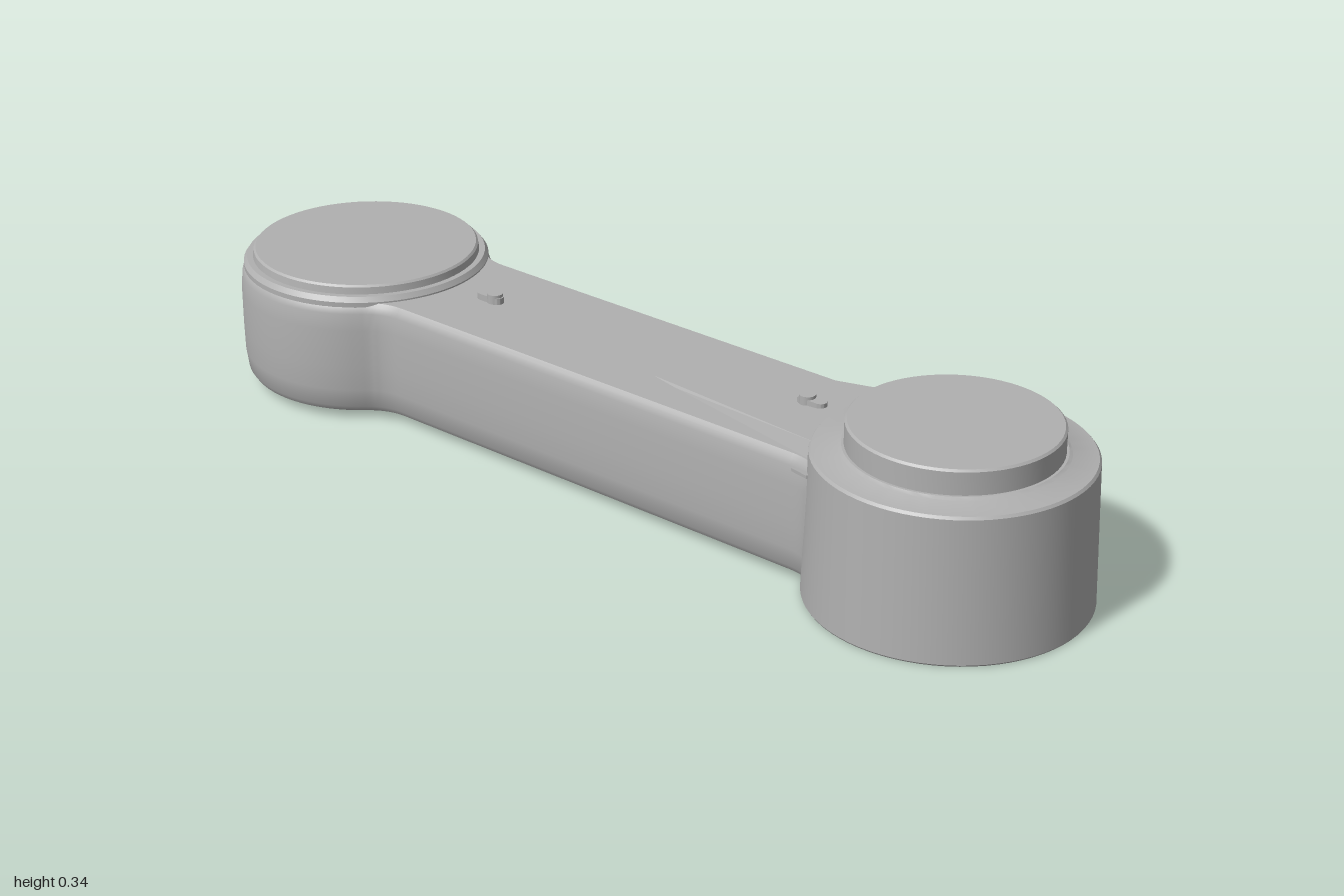
import * as THREE from 'three';
import { toCreasedNormals } from 'three/addons/utils/BufferGeometryUtils.js';

const LEFT = -0.74, RIGHT = 0.73;           // hub centres along x
const HUB = 0.257, HALF = 0.16, FILLET = 0.1;

// Closed plan outline of the arm, shrunk by an inset; returns [x, z] pairs
function outline(inset) {
  const dx = Math.sqrt((HUB + FILLET) ** 2 - (HALF + FILLET) ** 2);
  const a = Math.atan2(HALF + FILLET, dx);
  const end = []; // hub arc and fillet relative to the hub centre
  for (let i = 0; i <= 28; i++) {
    const t = Math.PI + (a - Math.PI) * i / 28;
    end.push([(HUB - inset) * Math.cos(t), (HUB - inset) * Math.sin(t)]);
  }
  for (let i = 1; i <= 8; i++) {
    const t = a + Math.PI + (Math.PI / 2 - a) * i / 8;
    end.push([dx + (FILLET + inset) * Math.cos(t), HALF + FILLET + (FILLET + inset) * Math.sin(t)]);
  }
  const half = [
    ...end.map(([x, z]) => [LEFT + x, z]),
    ...end.slice().reverse().map(([x, z]) => [RIGHT - x, z]),
  ];
  return [...half, ...half.slice(1, -1).reverse().map(([x, z]) => [x, -z])];
}

// Side wall skinned through [y, inset] levels
function wall(levels) {
  const pos = [], idx = [];
  const n = outline(0).length;
  for (const [y, inset] of levels) for (const [x, z] of outline(inset)) pos.push(x, y, z);
  for (let l = 0; l < levels.length - 1; l++) {
    for (let j = 0; j < n; j++) {
      const p = l * n + j, q = l * n + (j + 1) % n;
      idx.push(p, q, q + n, p, q + n, p + n);
    }
  }
  const g = new THREE.BufferGeometry();
  g.setAttribute('position', new THREE.Float32BufferAttribute(pos, 3));
  g.setIndex(idx);
  return toCreasedNormals(g, 0.6);
}

function lathe(profile) {
  const pts = profile.map(([r, y]) => new THREE.Vector2(r, y));
  return toCreasedNormals(new THREE.LatheGeometry(pts, 72), 0.5);
}

export function createModel() {
  const group = new THREE.Group();
  const grey = new THREE.MeshStandardMaterial({ color: 0xb0b0b0 });
  grey.name = 'matte grey';
  const add = (name, geo, x = 0, y = 0, z = 0) => {
    const m = new THREE.Mesh(geo, grey);
    m.name = name;
    m.position.set(x, y, z);
    group.add(m);
    return m;
  };

  // Arm body with gently rounded sides
  const levels = [[0.02, 0.014], [0.032, 0.006], [0.07, 0.001], [0.12, 0],
    [0.2, 0], [0.235, 0.003], [0.248, 0.007], [0.255, 0.014]];
  add('armWall', wall(levels));
  const topShape = new THREE.Shape(outline(0.014).map(([x, z]) => new THREE.Vector2(x, -z)));
  add('armTop', new THREE.ShapeGeometry(topShape).rotateX(-Math.PI / 2), 0, 0.255);
  const bottomShape = new THREE.Shape(outline(0.014).map(([x, z]) => new THREE.Vector2(x, z)));
  bottomShape.holes.push(new THREE.Path().absarc(LEFT, 0, 0.232, 0, Math.PI * 2, true));
  add('armBottom', new THREE.ShapeGeometry(bottomShape, 36).rotateX(Math.PI / 2), 0, 0.02);

  // Left hub: recess below, stepped cap above
  add('leftRecess', lathe([[0, 0.065], [0.23, 0.065], [0.232, 0.02]]), LEFT);
  add('leftCap', lathe([[0.25, 0.24], [0.25, 0.258], [0.243, 0.268], [0.231, 0.268],
    [0.229, 0.282], [0.225, 0.286], [0, 0.286]]), LEFT);

  // Right hub: tapered drum with a raised disc
  add('rightHub', lathe([[0, 0], [0.263, 0], [0.265, 0.003], [0.257, 0.28], [0.253, 0.285],
    [0.206, 0.291], [0.2, 0.295], [0.195, 0.295], [0.195, 0.339], [0.191, 0.343], [0, 0.343]]), RIGHT);

  // Shallow ramp rising toward the right hub
  const ramp = new THREE.BoxGeometry(1, 1, 1).toNonIndexed();
  const p = ramp.attributes.position;
  for (let i = 0; i < p.count; i++) {
    const far = p.getX(i) > 0, top = p.getY(i) > 0;
    const w = (far ? 0.138 : 0.06) + (top ? 0 : far ? 0.014 : 0.004);
    p.setXYZ(i, far ? 0.54 : 0.09, top ? (far ? 0.286 : 0.2555) : 0.25, Math.sign(p.getZ(i)) * w);
  }
  ramp.computeVertexNormals();
  add('ramp', ramp);

  // Little locating lugs on top, each a slot shape with a round pin
  for (const [x, y, s] of [[-0.39, 0.25, 1], [0.415, 0.27, -1]]) {
    const slot = new THREE.Shape();
    slot.absarc(0.018, 0, 0.013, -Math.PI / 2, Math.PI / 2, false);
    slot.absarc(-0.018, 0, 0.013, Math.PI / 2, Math.PI * 1.5, false);
    const lug = new THREE.ExtrudeGeometry(slot, { depth: 0.018, bevelEnabled: false, curveSegments: 10 });
    add('topLug', toCreasedNormals(lug.rotateX(-Math.PI / 2), 0.5), x, y);
    add('lugPin', new THREE.CylinderGeometry(0.016, 0.016, 0.024, 20), x + 0.012 * s, y + 0.012);
  }

  // Two small feet underneath, near the left hub
  for (const z of [-0.1, 0.1]) {
    const foot = add('bottomFoot', new THREE.CylinderGeometry(0.014, 0.014, 0.012, 20), -0.35, 0.021, z);
    foot.scale.x = 1.7;
  }

  // Short ribs on the fillets beside the right hub
  for (const z of [-1, 1]) {
    const rib = add('filletRib', new THREE.BoxGeometry(0.06, 0.006, 0.012), 0.522, 0.236, z * 0.168);
    rib.rotation.set(0, -z * 0.45, 0.2);
  }
  return group;
}
